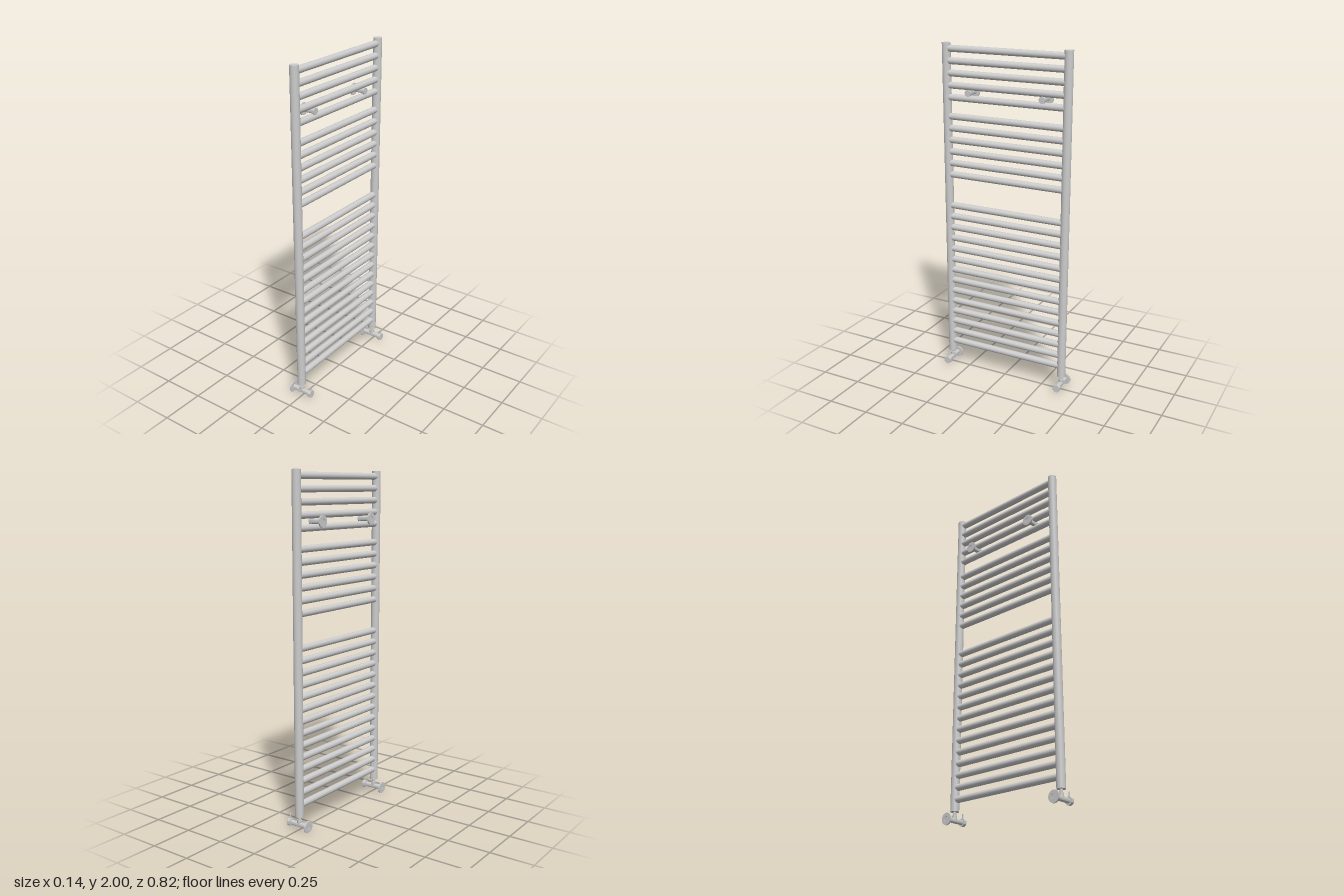
import * as THREE from 'three';
import { toCreasedNormals } from 'three/addons/utils/BufferGeometryUtils.js';

const material = new THREE.MeshStandardMaterial({ color: 0xcccccc });
const AXIS_X = -0.006; // plane of the posts and rungs
const POST_Z = 0.375;

function part(name, geometry, x, y, z) {
  const mesh = new THREE.Mesh(geometry, material);
  mesh.name = name;
  mesh.position.set(x, y, z);
  return mesh;
}

// Upright cylinder between two heights
function upright(name, radius, y0, y1, x, z, sides = 32) {
  return part(name, new THREE.CylinderGeometry(radius, radius, y1 - y0, sides), x, (y0 + y1) / 2, z);
}

// Turned piece along x: profile holds [radius, x] pairs from back to front
function turned(name, profile, y, z) {
  const points = profile.map(([r, x]) => new THREE.Vector2(r, x));
  const geometry = new THREE.LatheGeometry(points, 32);
  geometry.rotateZ(-Math.PI / 2);
  return part(name, toCreasedNormals(geometry, 0.6), 0, y, z);
}

// Wall flange with a shallow recess, running into a stem
const flange = (stem) => [
  [0, -0.067], [stem, -0.067], [stem, -0.071], [0.034, -0.071], [0.034, -0.063], [stem, -0.063],
];

function createWallBracket(z) {
  return turned('wallBracket', [
    ...flange(0.0145), [0.0145, 0.004], [0.019, 0.004], [0.019, 0.0145], [0, 0.0145],
  ], 1.727, z);
}

function createValve(z) {
  const valve = new THREE.Group();
  valve.name = 'valve';
  const y = 0.036;
  valve.add(
    turned('valveBody', [...flange(0.0145), [0.0145, 0.05], [0, 0.05]], y, z),
    turned('valveKnob', [[0, 0.049], [0.0225, 0.049], [0.0225, 0.069], [0, 0.069]], y, z),
    upright('knobPin', 0.004, 0.05, 0.085, 0.06, z, 16),
    upright('valveNeck', 0.009, y, 0.09, AXIS_X, z, 24),
    upright('valveNut', 0.014, y, 0.064, AXIS_X, z, 24),
  );
  return valve;
}

export function createModel() {
  const model = new THREE.Group();
  model.name = 'towelRadiator';

  // Posts, valves and wall brackets, mirrored in z
  for (const side of [-1, 1]) {
    model.add(
      upright('post', 0.025, 0.085, 2, AXIS_X, side * POST_Z, 40),
      createValve(side * POST_Z),
      createWallBracket(side * 0.23),
    );
  }

  // Rungs in three banks: [lowest, highest, count]
  const rungGeometry = new THREE.CylinderGeometry(0.0195, 0.0195, POST_Z * 2, 32, 1, true);
  rungGeometry.rotateX(Math.PI / 2);
  for (const [low, high, count] of [[0.152, 1.046, 14], [1.237, 1.583, 6], [1.693, 1.968, 5]]) {
    const bank = new THREE.Group();
    bank.name = 'rungBank';
    for (let i = 0; i < count; i++) {
      const y = low + ((high - low) * i) / (count - 1);
      bank.add(part('rung', rungGeometry, AXIS_X, y, 0));
    }
    model.add(bank);
  }
  return model;
}
